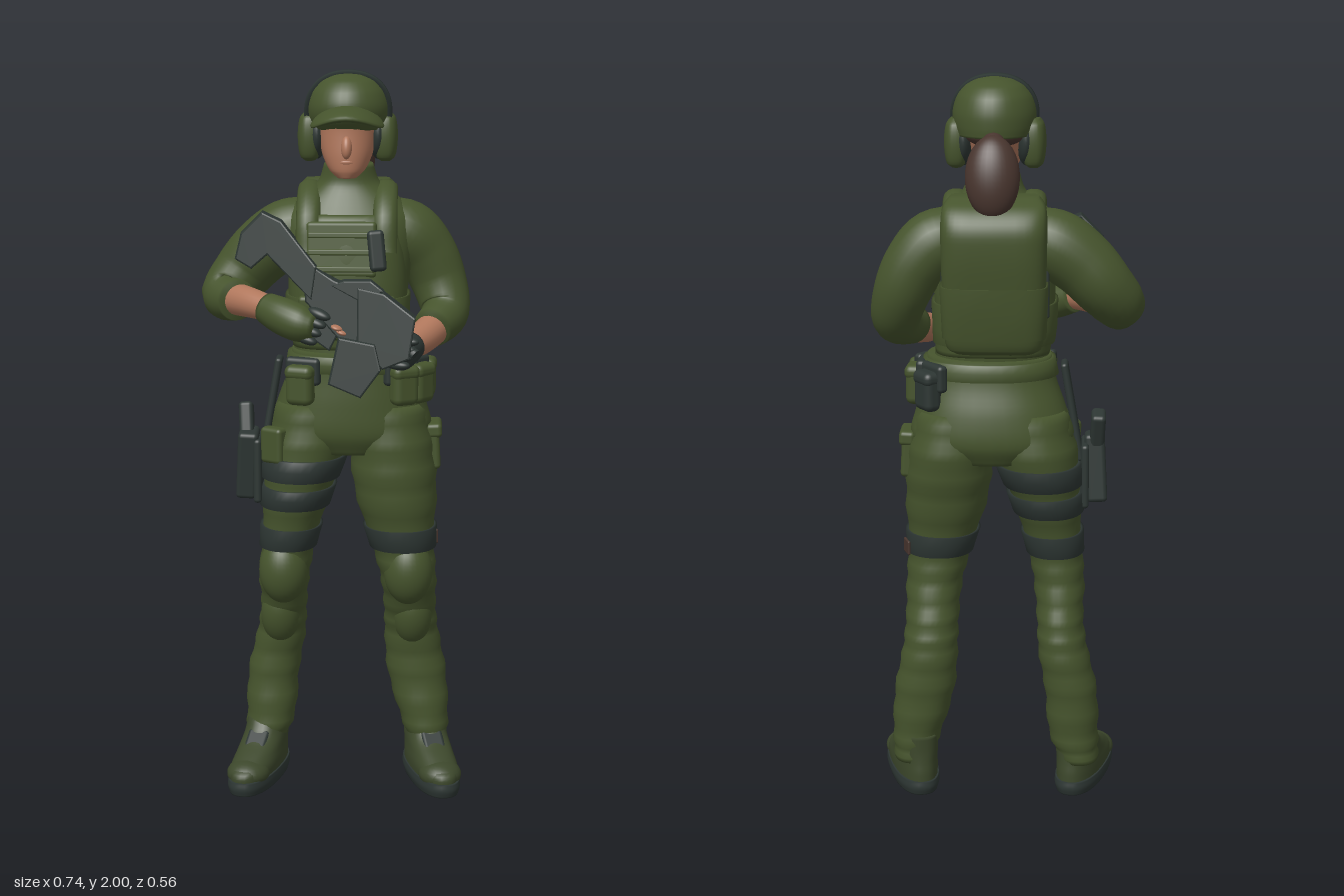
import * as THREE from 'three';
import { RoundedBoxGeometry } from 'three/addons/geometries/RoundedBoxGeometry.js';

const V = (x, y, z) => new THREE.Vector3(x, y, z);
const paint = (name, color) => Object.assign(new THREE.MeshStandardMaterial({ color }), { name });

// closed smooth surface through loops of points
function skinLoops(loops) {
  const n = loops[0].length, pos = [], idx = [];
  loops.forEach(l => l.forEach(p => pos.push(p.x, p.y, p.z)));
  for (let i = 0; i < loops.length - 1; i++) for (let j = 0; j < n; j++) {
    const a = i * n + j, b = i * n + (j + 1) % n;
    idx.push(a, a + n, b, b, a + n, b + n);
  }
  [0, loops.length - 1].forEach((row, end) => {
    const c = loops[row].reduce((s, p) => s.add(p), V(0, 0, 0)).divideScalar(n), k = pos.length / 3;
    pos.push(c.x, c.y, c.z);
    for (let j = 0; j < n; j++) {
      const a = row * n + j, b = row * n + (j + 1) % n;
      end ? idx.push(k, b, a) : idx.push(k, a, b);
    }
  });
  const g = new THREE.BufferGeometry();
  g.setAttribute('position', new THREE.Float32BufferAttribute(pos, 3));
  g.setIndex(idx);
  g.computeVertexNormals();
  return g;
}

// rings [cx, y, cz, rx, rz] from bottom to top, p = squareness
function sampler(rings) {
  const c = new THREE.CatmullRomCurve3(rings.map(r => V(r[0], r[1], r[2])));
  const s = new THREE.CatmullRomCurve3(rings.map(r => V(r[3], r[4], r[1])));
  return t => [c.getPoint(t), s.getPoint(t)];
}
const power = (v, p) => Math.sign(v) * Math.abs(v) ** (2 / p);
const ring = ([c, s], p, grow = 0) => Array.from({ length: 36 }, (_, j) => {
  const a = j / 36 * Math.PI * 2;
  return V(c.x + power(Math.cos(a), p) * (s.x + grow), c.y, c.z + power(Math.sin(a), p) * (s.y + grow));
});
function loft(rings, p = 2, fold = 0) {
  const at = sampler(rings), n = (rings.length - 1) * 5;
  return skinLoops(Array.from({ length: n + 1 }, (_, i) => ring(at(i / n), p, fold * Math.sin(i * 1.9))));
}
// strap that hugs a loft between two heights
function band(rings, y0, y1, grow, p = 2) {
  const at = sampler(rings);
  const find = y => {
    let lo = 0, hi = 1;
    for (let i = 0; i < 25; i++) { const m = (lo + hi) / 2; at(m)[0].y < y ? lo = m : hi = m; }
    return lo;
  };
  const a = find(y0), b = find(y1);
  return skinLoops([[a, 0], [a, grow], [(a + b) / 2, grow], [b, grow], [b, 0]].map(([t, g]) => ring(at(t), p, g)));
}
// limb along a path of [x, y, z, radius]
function limb(pts) {
  const c = new THREE.CatmullRomCurve3(pts.map(q => V(q[0], q[1], q[2])));
  const r = new THREE.CatmullRomCurve3(pts.map((q, i) => V(q[3], i * 0.1, 0)));
  const n = (pts.length - 1) * 6, f = c.computeFrenetFrames(n);
  return skinLoops(Array.from({ length: n + 1 }, (_, i) => {
    const o = c.getPointAt(i / n), w = r.getPoint(c.getUtoTmapping(i / n)).x;
    return Array.from({ length: 24 }, (_, j) => {
      const a = j / 24 * Math.PI * 2;
      return o.clone().addScaledVector(f.normals[i], w * Math.cos(a)).addScaledVector(f.binormals[i], -w * Math.sin(a));
    });
  }));
}

export function createModel() {
  const G = new THREE.Group();
  const green = paint('olive cloth', 0x46542d), dark = paint('dark gear', 0x2d3633);
  const skin = paint('skin', 0xb0775c), hair = paint('hair', 0x48352e), boot = paint('boot leather', 0x3c472b);
  const add = (name, geo, mat, pos = [0, 0, 0], rot = [0, 0, 0]) => {
    const m = new THREE.Mesh(geo, mat);
    m.name = name; m.position.set(...pos); m.rotation.set(...rot);
    G.add(m);
    return m;
  };
  const ball = (name, mat, pos, size, rot) => add(name, new THREE.SphereGeometry(1, 32, 20), mat, pos, rot).scale.set(...size);
  const box = (name, mat, pos, size, rot, r = 0.012) =>
    add(name, new RoundedBoxGeometry(...size, 3, Math.min(r, Math.min(...size) * 0.45)), mat, pos, rot);

  // trousers
  const legs = {
    right: [[-.203, .09, -.08, .053, .075], [-.188, .16, -.08, .068, .08], [-.178, .3, -.09, .072, .08], [-.155, .42, -.088, .068, .085],
      [-.147, .5, -.068, .064, .092], [-.143, .6, -.03, .07, .102], [-.13, .7, -.025, .075, .1], [-.105, .85, -.03, .096, .128],
      [-.078, .98, -.042, .114, .142], [-.06, 1.1, -.04, .1, .125]],
    left: [[.265, .09, -.08, .053, .075], [.255, .16, -.08, .067, .08], [.231, .3, -.09, .083, .08], [.215, .42, -.088, .076, .085],
      [.21, .5, -.068, .073, .092], [.205, .6, -.03, .078, .102], [.188, .7, -.025, .088, .1], [.168, .85, -.03, .114, .128],
      [.157, .98, -.042, .116, .142], [.145, 1.1, -.04, .1, .125]],
  };
  const hips = [[.042, .965, -.045, .15, .12], [.042, 1.02, -.045, .222, .145], [.045, 1.1, -.04, .205, .142], [.05, 1.18, -.03, .182, .128], [.05, 1.25, -.025, .168, .122]];
  add('hips', loft(hips, 2.2), green);
  for (const [side, rings] of Object.entries(legs)) {
    const s = side === 'left' ? 1 : -1, x = rings[5][0];
    add(side + 'TrouserLeg', loft(rings, 2.2, 0.003), green);
    ball(side + 'KneePad', green, [x, .625, .025], [.068, .095, .066]);
    ball(side + 'ShinPad', green, [x + s * .012, .48, -.025], [.055, .09, .055], [.25, 0, 0]);
    add(side + 'KneeStrap', band(rings, .69, .75, .007, 2.2), dark);
    // boots
    const foot = new THREE.Group();
    foot.name = side + 'Boot';
    const upper = new THREE.Mesh(loft([[0, .03, .085, .061, .163], [0, .06, .083, .062, .16], [0, .09, .055, .059, .128],
      [0, .125, .018, .057, .088], [0, .17, 0, .054, .07]], 2.3), boot);
    const sole = new THREE.Mesh(loft([[0, 0, .085, .061, .162], [0, .02, .085, .066, .168], [0, .04, .085, .064, .165]], 2.4), dark);
    const toe = new THREE.Mesh(new THREE.SphereGeometry(1, 24, 16), boot);
    const tongue = new THREE.Mesh(new RoundedBoxGeometry(.062, .025, .1, 3, .01), dark);
    upper.name = 'upper'; sole.name = 'sole'; toe.name = 'toeCap'; tongue.name = 'tongue';
    toe.position.set(0, .048, .175); toe.scale.set(.06, .04, .066);
    tongue.position.set(0, .105, .115); tongue.rotation.x = .62;
    foot.add(upper, sole, toe, tongue);
    foot.position.set(s > 0 ? .252 : -.194, 0, s > 0 ? -.092 : -.08);
    foot.rotation.y = s * .27;
    G.add(foot);
  }
  box('leftCargoPocket', green, [.27, .97, -.045], [.04, .12, .1], [0, 0, .05]);
  box('leftCargoFlap', green, [.273, 1.02, -.045], [.045, .04, .108], [0, 0, .05]);
  box('rightCargoPocket', green, [-.165, .99, .06], [.07, .1, .04], [0, -.6, 0]);
  box('kneeStrapPatch', hair, [.278, .705, -.07], [.008, .04, .045], [0, .35, 0]);

  // thigh holster
  add('upperHolsterStrap', band(legs.right, .89, .95, .009, 2.2), dark);
  add('lowerHolsterStrap', band(legs.right, .81, .865, .009, 2.2), dark);
  box('holsterHanger', dark, [-.176, 1.085, -.015], [.02, .28, .07], [0, 0, -.17]);
  box('holsterPlate', dark, [-.212, .91, -.015], [.022, .18, .125]);
  box('holster', dark, [-.242, .925, -.01], [.056, .19, .09], [.1, 0, -.05]);
  box('pistolGrip', dark, [-.246, 1.035, -.03], [.04, .11, .06], [-.3, 0, .05]);

  // belt and pouches
  add('belt', band(hips, 1.195, 1.24, .01, 2.2), green);
  [[.235, .045, .9, green], [.25, -.04, 1.5, green], [.212, -.125, 2.2, dark], [.19, .085, .5, green], [-.09, .095, -.35, green]].forEach(([x, z, a, mat]) => {
    box('beltPouch', mat, [x, 1.16, z], [.076, .1, .052], [0, a, 0], .02);
    box('pouchFlap', mat, [x, 1.2, z], [.08, .04, .058], [0, a, 0], .018);
    box('pouchBacking', dark, [x - Math.sin(a) * .02, 1.2, z - Math.cos(a) * .02], [.1, .075, .03], [0, a, 0]);
  });
  box('buckle', dark, [.05, 1.218, .103], [.08, .04, .018]);

  // shirt and vest
  add('shirt', loft([[.045, 1.2, -.025, .16, .115], [.04, 1.35, -.035, .152, .12], [.035, 1.5, -.045, .175, .125],
    [.035, 1.6, -.06, .178, .115], [.035, 1.655, -.07, .14, .095], [.035, 1.7, -.07, .084, .075], [.035, 1.75, -.062, .066, .068]], 2.2), green);
  const vest = [[.04, 1.26, -.03, .155, .122], [.035, 1.32, -.03, .16, .13], [.035, 1.45, -.035, .162, .135], [.033, 1.56, -.045, .15, .13], [.033, 1.62, -.055, .13, .115]];
  add('vest', loft(vest, 3), green);
  add('vestWaistBand', band(vest, 1.29, 1.4, .008, 3), green);
  box('chestPanel', green, [.02, 1.53, .073], [.19, .15, .035], [-.15, 0, 0]);
  for (let i = 0; i < 3; i++) box('webbingStrip', green, [.02, 1.48 + i * .045, .096 - i * .007], [.18, .016, .01], [-.15, 0, 0]);
  for (let i = 0; i < 4; i++) box('magazinePouch', green, [-.065 + i * .067, 1.35, .1], [.06, .12, .035]);
  box('radio', dark, [.115, 1.53, .09], [.045, .11, .03], [-.15, .15, .1]);
  const strapPath = new THREE.CatmullRomCurve3([V(0, 1.52, .068), V(0, 1.61, .045), V(0, 1.672, -.03), V(0, 1.675, -.11), V(0, 1.6, -.18)]);
  const strapGeo = new THREE.TubeGeometry(strapPath, 24, .022, 14).scale(1.5, 1, 1);
  for (const s of [-1, 1]) add('shoulderStrap', strapGeo, green, [.033 + s * .103, 0, 0]);

  // backpack
  const pack = [[.03, 1.285, -.165, .105, .055], [.03, 1.3, -.172, .125, .068], [.03, 1.42, -.185, .135, .076],
    [.03, 1.56, -.2, .138, .08], [.03, 1.63, -.198, .139, .077], [.03, 1.675, -.182, .134, .058], [.03, 1.7, -.155, .115, .03]];
  add('backpack', loft(pack, 4), green);
  add('backpackLowerPanel', band(pack, 1.33, 1.47, .006, 4), green);
  for (const s of [-1, 1]) box('backpackSideStrap', dark, [.03 + s * .137, 1.47, -.14], [.014, .2, .025]);

  // arms
  add('rightSleeve', limb([[-.05, 1.575, -.075, .08], [-.125, 1.557, -.08, .094], [-.197, 1.51, -.085, .09], [-.258, 1.445, -.085, .082], [-.3, 1.39, -.05, .069], [-.262, 1.382, .02, .055]]), green);
  add('rightForearm', limb([[-.28, 1.385, -.01, .045], [-.22, 1.383, .065, .04], [-.16, 1.375, .125, .033]]), skin);
  add('rightGlove', limb([[-.18, 1.377, .105, .042], [-.13, 1.36, .145, .05], [-.08, 1.345, .175, .048], [-.045, 1.34, .19, .03]]), green);
  for (let i = 0; i < 4; i++) ball('rightFinger', dark, [-.035 - i * .012, 1.375 - i * .022, .185], [.035, .014, .018], [0, -.5, -.3]);
  for (let i = 0; i < 2; i++) ball('rightFingertip', skin, [.012 + i * .014, 1.338 - i * .012, .186], [.016, .007, .016], [0, -.4, -.3]);
  add('leftSleeve', limb([[.12, 1.575, -.075, .08], [.19, 1.557, -.08, .092], [.246, 1.5, -.09, .085], [.284, 1.42, -.085, .076], [.3, 1.345, -.045, .066], [.262, 1.31, .035, .053]]), green);
  add('leftForearm', limb([[.275, 1.315, .01, .046], [.235, 1.292, .085, .042], [.2, 1.28, .155, .034]]), skin);
  add('leftGlove', limb([[.208, 1.282, .135, .04], [.193, 1.275, .17, .042], [.178, 1.27, .205, .043], [.16, 1.265, .235, .028]]), dark);
  for (let i = 0; i < 4; i++) ball('leftFinger', dark, [.175 + i * .008, 1.25 + i * .021, .24], [.034, .013, .018], [0, -.5, 0]);

  // rifle, slanted across the chest
  const slab = (name, pts, depth, lift) => {
    const g = new THREE.ExtrudeGeometry(new THREE.Shape(pts.map(p => new THREE.Vector2(...p))),
      { depth, bevelThickness: .008, bevelSize: .005, bevelSegments: 2 });
    const p = g.attributes.position;
    for (let i = 0; i < p.count; i++)
      p.setZ(i, p.getZ(i) - depth / 2 + lift + .135 + .43 * p.getX(i) - .22 * (p.getY(i) - 1.4));
    g.computeVertexNormals();
    add(name, g, dark);
  };
  slab('rifleStock', [[-.265, 1.5], [-.25, 1.565], [-.195, 1.62], [-.145, 1.6], [-.05, 1.49], [-.06, 1.41], [-.18, 1.52], [-.225, 1.48]], .035, .01);
  slab('rifleReceiver', [[-.08, 1.5], [0, 1.455], [.1, 1.42], [.145, 1.385], [.155, 1.27], [.05, 1.28], [-.07, 1.4]], .042, 0);
  slab('rifleHandguard', [[.07, 1.44], [.135, 1.43], [.215, 1.375], [.2, 1.275], [.135, 1.245], [.07, 1.3]], .046, .004);
  slab('rifleSight', [[.0, 1.445], [.03, 1.455], [.1, 1.46], [.13, 1.44], [.08, 1.41]], .026, .01);
  slab('rifleMagazine', [[.02, 1.31], [.11, 1.3], [.125, 1.24], [.075, 1.17], [-.005, 1.195]], .032, .025);
  slab('rifleGrip', [[-.03, 1.38], [.02, 1.34], [-.01, 1.28], [-.06, 1.31]], .03, 0);
  add('rifleMuzzle', new THREE.CylinderGeometry(.016, .016, .06, 16), dark, [.198, 1.295, .24], [-.6, 0, .8]);

  // head
  add('neck', loft([[.033, 1.68, -.07, .06, .062], [.033, 1.75, -.06, .054, .06], [.033, 1.82, -.06, .056, .062]]), skin);
  add('head', loft([[.033, 1.718, .022, .026, .035], [.033, 1.738, .008, .048, .058], [.033, 1.78, -.014, .068, .082],
    [.033, 1.84, -.035, .08, .1], [.033, 1.9, -.04, .085, .105], [.033, 1.95, -.04, .06, .08]], 2.15), skin);
  ball('nose', skin, [.033, 1.802, .062], [.015, .032, .02], [-.25, 0, 0]);
  ball('lips', skin, [.033, 1.762, .057], [.024, .01, .012]);
  ball('backHair', hair, [.033, 1.85, -.085], [.08, .035, .075]);
  ball('hairTie', hair, [.033, 1.835, -.165], [.03, .028, .032]);
  ball('ponytail', hair, [.033, 1.755, -.217], [.071, .108, .052], [.2, 0, 0]);

  // cap
  add('capCrown', loft([[.035, 1.845, -.052, .1, .112], [.035, 1.87, -.042, .109, .125], [.035, 1.905, -.037, .111, .129],
    [.035, 1.945, -.037, .099, .116], [.035, 1.973, -.037, .076, .09], [.035, 1.989, -.037, .045, .054], [.035, 1.995, -.037, .012, .015]]), green);
  const brim = new THREE.SphereGeometry(1, 36, 16).scale(.098, .02, .1);
  const bp = brim.attributes.position;
  for (let i = 0; i < bp.count; i++) bp.setY(i, bp.getY(i) - 4 * bp.getX(i) ** 2 - .14 * bp.getZ(i));
  brim.computeVertexNormals();
  add('capBrim', brim, green, [.035, 1.897, .067]);

  // ear defenders and headband
  const arch = Array.from({ length: 41 }, (_, i) => {
    const a = (i / 40 * 1.3 - .15) * Math.PI, c = power(Math.cos(a), 2.25), s = power(Math.sin(a), 2.25);
    return [[.1, -.026], [.118, -.022], [.118, .022], [.1, .026]].map(([r, z]) => V(c * r, s * (r - .005), z));
  });
  add('headband', skinLoops(arch), dark, [.035, 1.887, -.022]);
  const cup = [[0, -.066, 0, .014, .036], [0, -.055, 0, .026, .053], [0, 0, 0, .033, .062], [0, .048, 0, .027, .054], [0, .064, 0, .014, .036]];
  for (const s of [-1, 1]) {
    const x = .033 + s * .102;
    ball('earCushion', dark, [x - s * .02, 1.83, -.045], [.026, .068, .066]);
    add('earCup', loft(cup, 2.8), green, [x, 1.825, -.045]);
  }
  return G;
}
